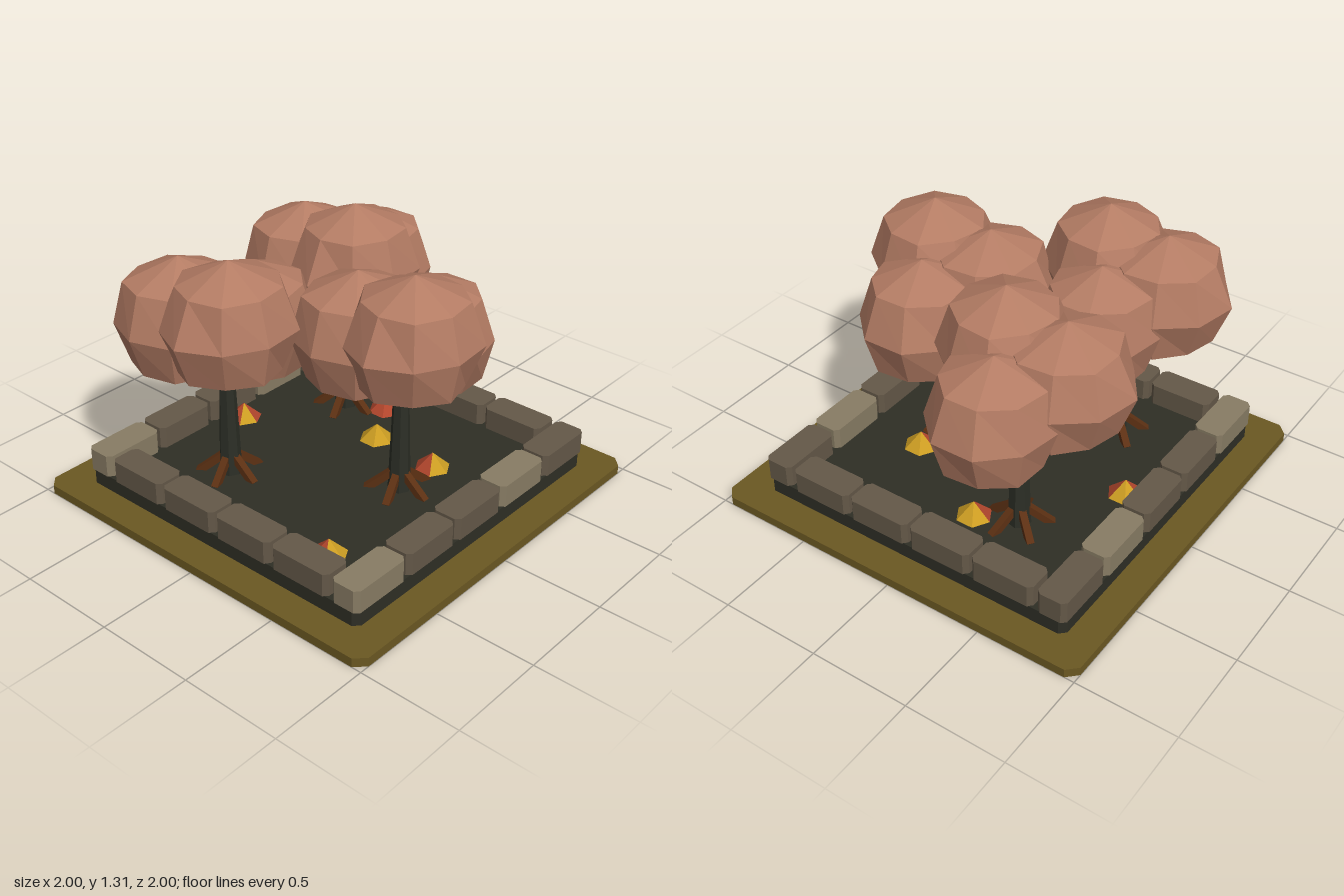
import * as THREE from 'three';

const mat = (name, color, flatShading = true) => {
  const m = new THREE.MeshStandardMaterial({ color, flatShading });
  m.name = name;
  return m;
};

export function createModel() {
  const ochre = mat('ochre ground', 0x6b5822);
  const soilMat = mat('dark soil', 0x2e2e25);
  const lightStone = mat('light stone', 0x887c64);
  const darkStone = mat('dark stone', 0x645848);
  const bark = mat('dark bark', 0x2c2f26);
  const rootMat = mat('brown root', 0x5c3013);
  const foliage = mat('dusty pink foliage', 0xb47c64);
  const gold = mat('gold leaf', 0xcb9c22);
  const red = mat('red leaf', 0xb0452c);

  const model = new THREE.Group();
  model.name = 'treePlanter';

  const add = (parent, name, geometry, material, x = 0, y = 0, z = 0) => {
    const mesh = new THREE.Mesh(geometry, material);
    mesh.name = name;
    mesh.position.set(x, y, z);
    parent.add(mesh);
    return mesh;
  };

  // Upright slab standing on y = 0, with cut vertical corners
  const slab = (w, h, d, c) => {
    const a = w / 2, b = d / 2;
    const shape = new THREE.Shape([
      [a - c, -b], [a, -b + c], [a, b - c], [a - c, b],
      [-a + c, b], [-a, b - c], [-a, -b + c], [-a + c, -b],
    ].map(([x, y]) => new THREE.Vector2(x, y)));
    return new THREE.ExtrudeGeometry(shape, { depth: h, bevelEnabled: false }).rotateX(-Math.PI / 2);
  };

  // Ground plate and soil bed
  add(model, 'groundPlate', slab(2, 0.045, 2, 0.05), ochre);
  add(model, 'soilBed', slab(1.69, 0.08, 1.69, 0.03), soilMat, 0, 0.042, 0);

  // Stone border: five stones front and back, four on each side
  const border = new THREE.Group();
  border.name = 'stoneBorder';
  model.add(border);
  const longStone = slab(0.326, 0.113, 0.15, 0.022);
  const sideStone = slab(0.15, 0.113, 0.326, 0.022);
  for (const s of [-1, 1]) {
    for (let i = 0; i < 5; i++) {
      add(border, 'rowStone', longStone, i % 3 === 0 ? lightStone : darkStone, (i - 2) * 0.343, 0.12, s * 0.775);
    }
    for (let i = 0; i < 4; i++) {
      add(border, 'sideStone', sideStone, darkStone, s * 0.775, 0.12, (i - 1.5) * 0.343);
    }
  }

  // Faceted leaf crown, slightly uneven
  const crownGeometry = (seed) => {
    const g = new THREE.SphereGeometry(1, 9, 4);
    const p = g.attributes.position;
    for (let i = 0; i < p.count; i++) {
      const x = p.getX(i), y = p.getY(i), z = p.getZ(i);
      const middle = Math.abs(y) < 0.9;
      const ring = middle && Math.abs(y) > 0.3;
      const k = middle ? 1 + 0.045 * Math.sin(7.3 * x + 4.1 * z + 3 * y + seed * 2.1) : 1;
      const r = k * (ring ? 1.1 : 1);
      p.setXYZ(i, x * r * 0.325, (ring ? Math.sign(y) * 0.655 : y) * 0.31, z * r * 0.31);
    }
    return g;
  };
  const crowns = [
    [-0.11, 0.93, -0.17], [-0.1, 1.0, 0.14], [0.19, 0.86, 0],
  ].map((pos, i) => ({ pos, geometry: crownGeometry(i) }));

  // Trees: tapered trunk, five sloping roots, three crowns
  const trunk = new THREE.CylinderGeometry(0.032, 0.056, 0.68, 7);
  const root = new THREE.BoxGeometry(0.17, 0.035, 0.035);
  for (const [x, z] of [[0, 0.38], [-0.42, -0.32], [0.42, -0.32]]) {
    const tree = new THREE.Group();
    tree.name = 'tree';
    tree.position.set(x, 0, z);
    model.add(tree);
    add(tree, 'trunk', trunk, bark, 0, 0.46, 0);
    for (let i = 0; i < 5; i++) {
      const pivot = new THREE.Group();
      pivot.name = 'rootPivot';
      pivot.rotation.y = -(19 + i * 72) * Math.PI / 180;
      tree.add(pivot);
      add(pivot, 'root', root, rootMat, 0.09, 0.165, 0).rotation.z = -0.68;
    }
    for (const { pos, geometry } of crowns) add(tree, 'leafCrown', geometry, foliage, ...pos);
  }

  // Leaf piles: low six-sided cones with a colour for each facet
  const piles = [
    [-0.61, 0.48, 'grgrrg'], [0.24, 0.39, 'gggrrg'], [0.265, 0.02, 'gggggg'],
    [0.507, -0.125, 'gggrrr'], [-0.024, -0.62, 'rggrrg'],
  ];
  for (const [x, z, facets] of piles) {
    const cone = new THREE.ConeGeometry(0.092, 0.085, 6, 1, true);
    cone.clearGroups();
    [...facets].forEach((f, i) => cone.addGroup(i * 3, 3, f === 'g' ? 0 : 1));
    add(model, 'leafPile', cone, [gold, red], x, 0.162, z);
  }

  return model;
}
